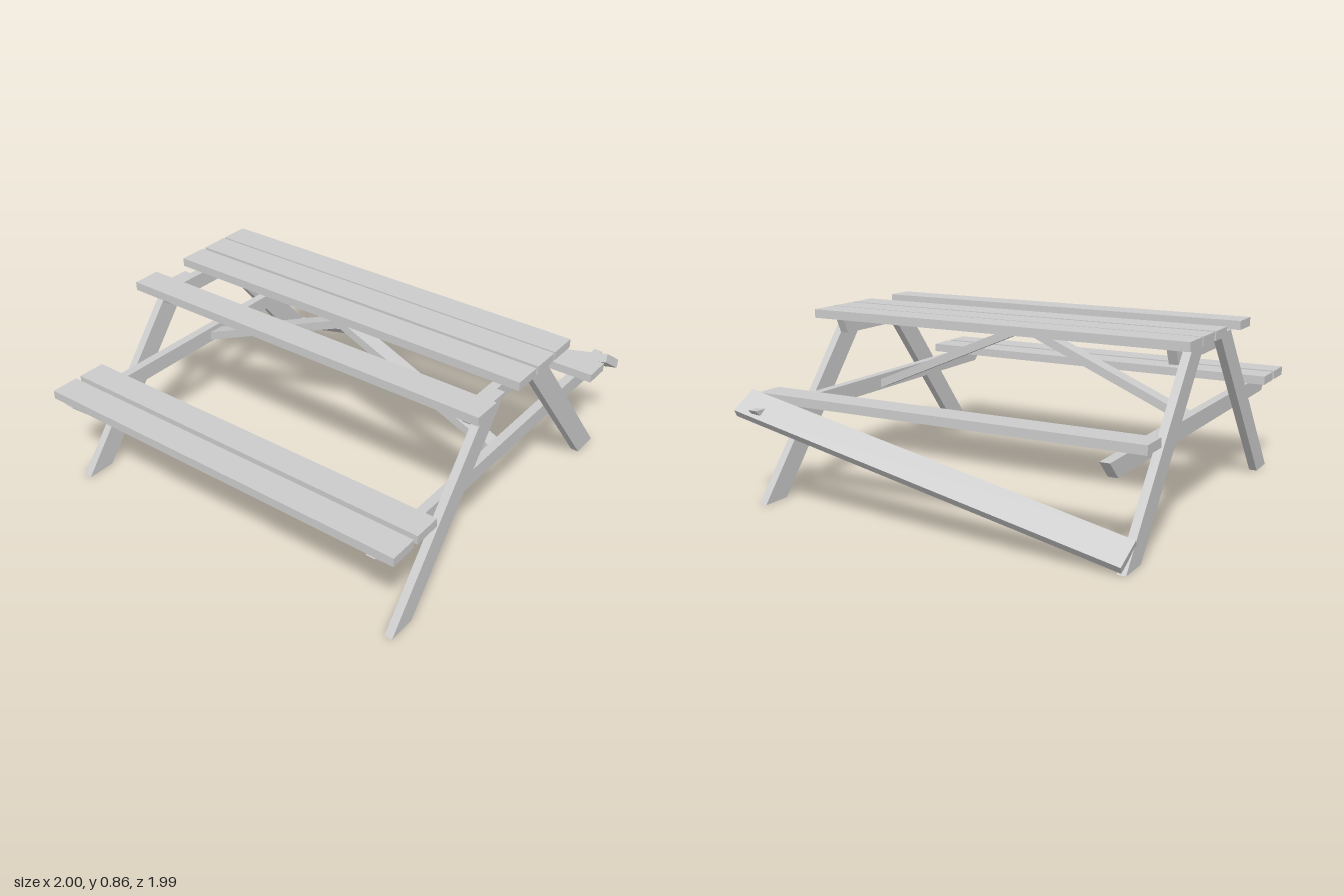
import * as THREE from 'three';

const material = new THREE.MeshStandardMaterial({ color: 0xcccccc, flatShading: true });

function add(parent, geometry, name) {
  const mesh = new THREE.Mesh(geometry, material);
  mesh.name = name;
  parent.add(mesh);
  return mesh;
}

// Flat board cut to an outline, with the given thickness
function board(points, thickness) {
  const shape = new THREE.Shape(points.map(([x, y]) => new THREE.Vector2(x, y)));
  return new THREE.ExtrudeGeometry(shape, { depth: thickness, bevelEnabled: false });
}

// Board whose outline is given as [z, y], spanning x0..x1
function sideBoard(points, x0, x1) {
  return board(points, x1 - x0).rotateY(-Math.PI / 2).translate(x1, 0, 0);
}

export function createModel() {
  const table = new THREE.Group();
  table.name = 'picnicTable';
  const length = 1.985, thick = 0.043;

  // Horizontal planks
  function plank(name, z0, z1, y) {
    const mesh = add(table, new THREE.BoxGeometry(length, thick, z1 - z0), name);
    mesh.position.set(-0.0075, y + thick / 2, (z0 + z1) / 2);
  }
  // The tabletop has a gap where one plank is missing
  [[-0.395, -0.25], [-0.24, -0.097], [-0.078, 0.068], [0.26, 0.403]]
    .forEach(([a, b]) => plank('tabletopPlank', a, b, 0.821));
  [[-0.83, -0.69], [0.683, 0.823], [0.85, 0.99]]
    .forEach(([a, b]) => plank('seatPlank', a, b, 0.48));

  // End frames: splayed legs outside, cross beams inside
  const frames = [
    { name: 'rightFrame', legs: [-0.955, -0.915], beams: [-0.915, -0.87] },
    { name: 'leftFrame', legs: [0.9, 0.94], beams: [0.855, 0.9] },
  ];
  for (const { name, legs, beams } of frames) {
    const frame = new THREE.Group();
    frame.name = name;
    table.add(frame);
    add(frame, sideBoard([[0.773, 0], [0.917, 0], [0.256, 0.821], [0.108, 0.821]], ...legs), 'frontLeg');
    add(frame, sideBoard([[-0.912, 0], [-0.765, 0], [-0.09, 0.821], [-0.237, 0.821]], ...legs), 'backLeg');
    add(frame, sideBoard([[-0.302, 0.742], [0.308, 0.742], [0.347, 0.821], [-0.338, 0.821]], ...beams), 'tabletopBeam');
    add(frame, sideBoard([[-0.915, 0.4], [0.917, 0.4], [0.997, 0.48], [-0.997, 0.48]], ...beams), 'seatBeam');
  }

  // Diagonal braces meeting under the tabletop
  const apex = -0.0075;
  const right = [[-0.87, 0.41], [apex, 0.777], [apex, 0.821], [-0.87, 0.455]];
  const left = right.map(([x, y]) => [2 * apex - x, y]);
  add(table, board(right, 0.08).translate(0, 0, -0.04), 'rightBrace');
  add(table, board(left, 0.08).translate(0, 0, -0.04), 'leftBrace');

  // Loose seat plank, one end dropped to the ground
  const along = new THREE.Vector3(0.977, 0.213, -0.022).normalize();
  const across = new THREE.Vector3(-0.107, 0.578, 0.809);
  across.addScaledVector(along, -across.dot(along)).normalize();
  const up = new THREE.Vector3().crossVectors(across, along);
  const loose = add(table, new THREE.BoxGeometry(length, thick, 0.14), 'looseSeatPlank');
  loose.quaternion.setFromRotationMatrix(new THREE.Matrix4().makeBasis(along, up, across));
  loose.position.set(0.019, 0.281, -0.901);

  return table;
}
